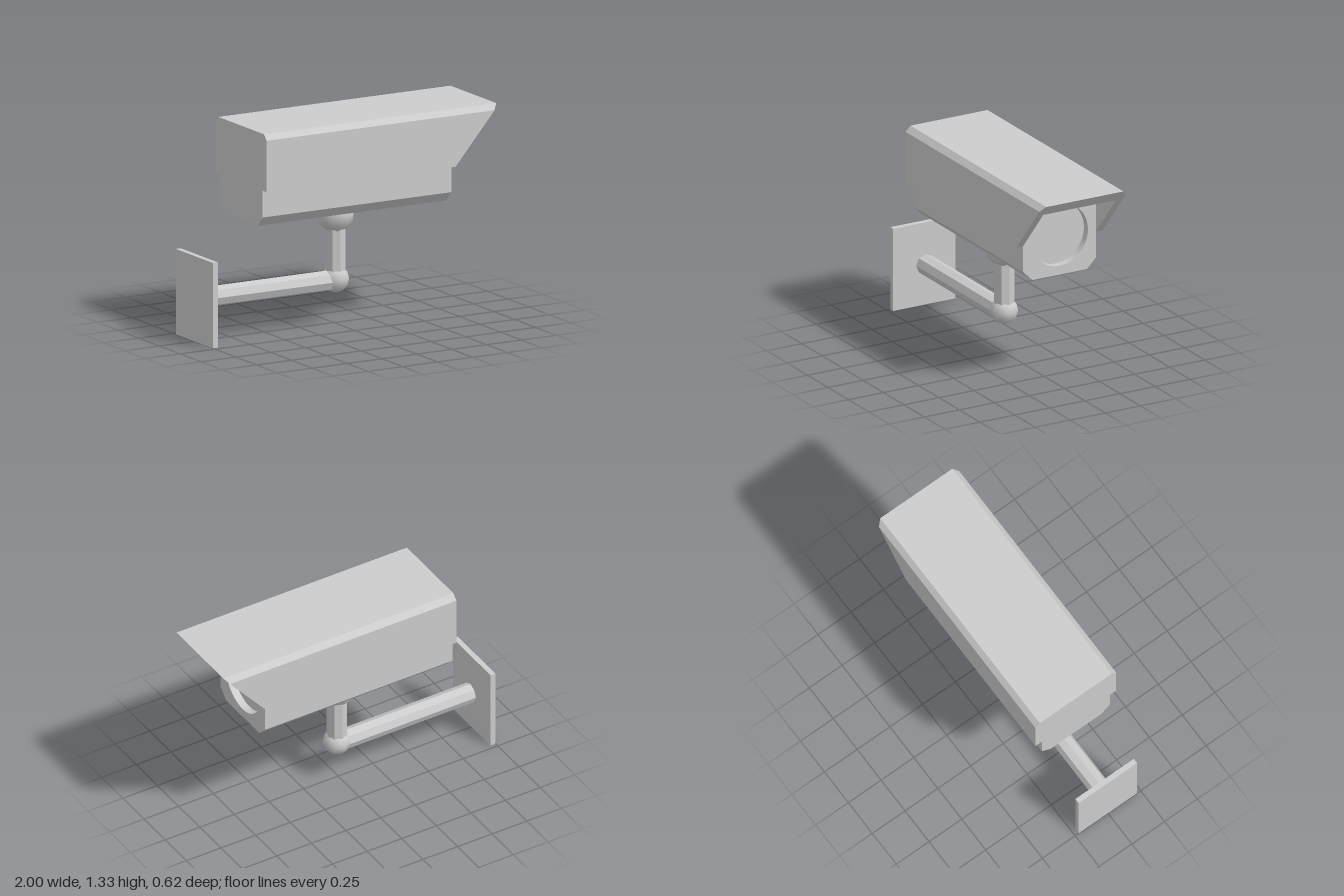
import * as THREE from 'three';
import { toCreasedNormals } from 'three/addons/utils/BufferGeometryUtils.js';

const BACK = -0.665, FRONT = 0.69, RECESS = 0.05, PIVOT_X = 0.01;

// Shape from the right half of a symmetric outline, listed bottom to top
function mirroredShape(half) {
  const left = half.map(([u, y]) => [-u, y]).reverse();
  return new THREE.Shape([...half, ...left].map(([u, y]) => new THREE.Vector2(u, y)));
}

// Extrude a cross-section along x, from x0 to x1
function extrudeX(shape, x0, x1) {
  const geo = new THREE.ExtrudeGeometry(shape, { depth: x1 - x0, bevelEnabled: false, curveSegments: 32 });
  return geo.rotateY(Math.PI / 2).translate(x0, 0, 0);
}

export function createModel() {
  const model = new THREE.Group();
  model.name = 'securityCamera';
  const grey = new THREE.MeshStandardMaterial({ color: 0xcccccc });
  grey.name = 'lightGrey';

  const add = (name, geo, x = 0, y = 0, z = 0) => {
    const mesh = new THREE.Mesh(geo, grey);
    mesh.name = name;
    mesh.position.set(x, y, z);
    model.add(mesh);
  };

  // Housing with chamfered lower edges
  const bodyHalf = [[0.195, 0.73], [0.26, 0.795], [0.26, 1.25]];
  add('housing', extrudeX(mirroredShape(bodyHalf), BACK, FRONT - RECESS));

  // Front rim around the recessed round lens window
  const rim = mirroredShape(bodyHalf);
  rim.holes.push(new THREE.Path().absarc(0, 0.99, 0.202, 0, Math.PI * 2, true));
  add('lensRim', toCreasedNormals(extrudeX(rim, FRONT - RECESS, FRONT), 0.5));

  // Sun hood: an upside-down channel whose front end is cut at a slant
  const hoodHalf = [[0.26, 1.25], [0.26, 0.965], [0.308, 0.965], [0.308, 1.29], [0.275, 1.325]];
  const hood = extrudeX(mirroredShape(hoodHalf), BACK, FRONT);
  const pos = hood.attributes.position;
  for (let i = 0; i < pos.count; i++) {
    if (pos.getX(i) > 0) pos.setX(i, FRONT + (pos.getY(i) - 0.965) * 0.31 / 0.36);
  }
  hood.computeVertexNormals();
  add('sunHood', hood);

  // Faceted ball joints
  const ball = (r) => new THREE.IcosahedronGeometry(r, 1).rotateZ(-Math.atan(2 / (1 + Math.sqrt(5))));
  add('upperJoint', ball(0.118), PIVOT_X, 0.69);
  add('lowerJoint', ball(0.088), PIVOT_X, 0.278);

  // Eight-sided post and wall arm
  const rod = (length) => {
    const geo = new THREE.CylinderGeometry(0.065, 0.065, length, 8).toNonIndexed();
    geo.computeVertexNormals();
    return geo;
  };
  add('post', rod(0.38), PIVOT_X, 0.47);
  add('wallArm', rod(0.955).rotateZ(Math.PI / 2), -0.4775, 0.27);

  // Wall plate
  add('wallPlate', new THREE.BoxGeometry(0.035, 0.54, 0.446), -0.9825, 0.27);

  return model;
}
